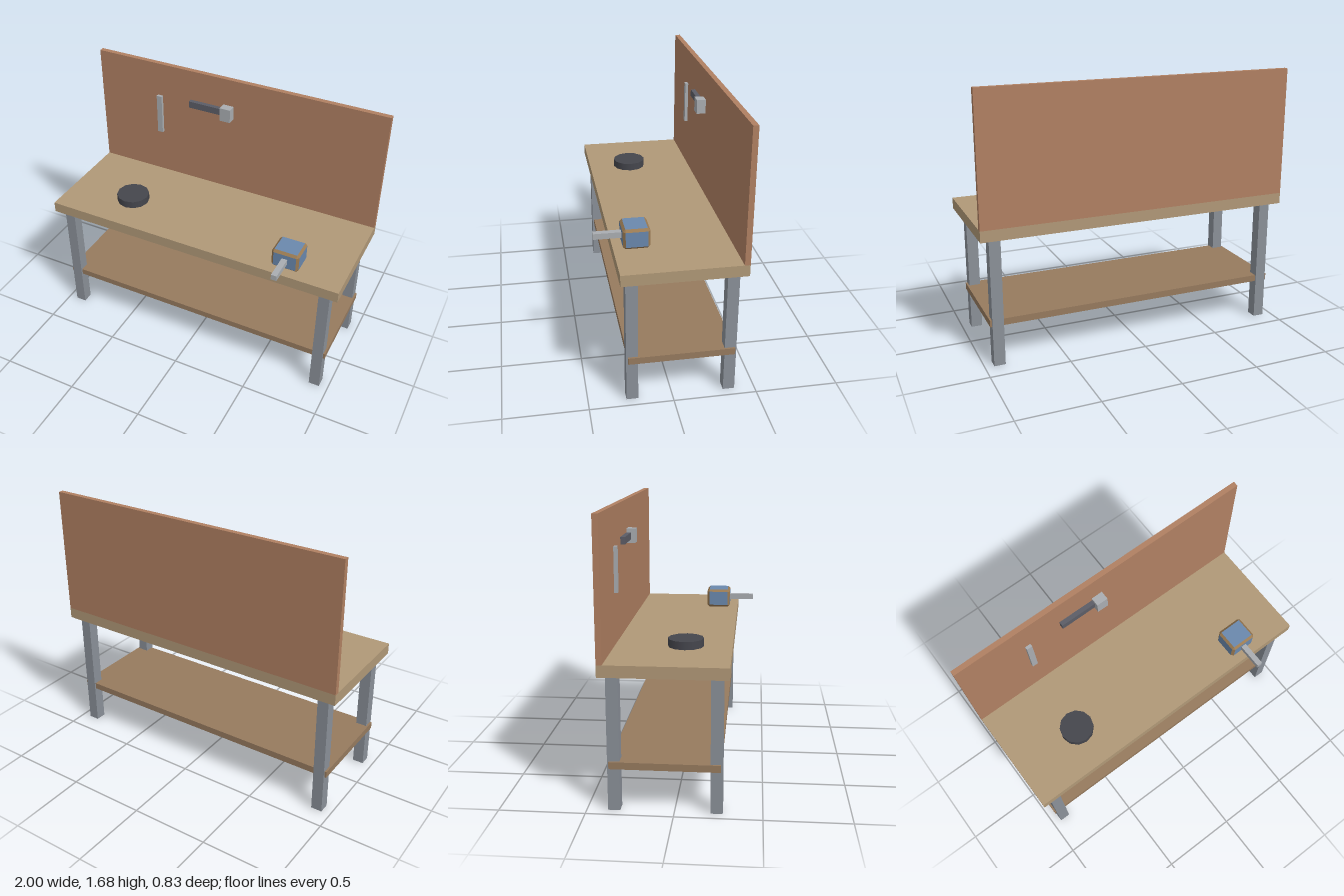
import * as THREE from 'three';
import { ConvexGeometry } from 'three/addons/geometries/ConvexGeometry.js';

const WOOD = 0xb09877, SHELF = 0x967a5e, PANEL = 0xb08062, LEG = 0x8a9098;
const STEEL = 0xa9adb1, DARK = 0x45464d, GRIP = 0x5c5d66, BLUE = 0x6a88ad, TRIM = 0x9a7a52;

const paint = (color, flatShading = false) => new THREE.MeshStandardMaterial({ color, flatShading });

// Box given by its extents along each axis
function block(name, color, [x0, x1], [y0, y1], [z0, z1]) {
  const mesh = new THREE.Mesh(new THREE.BoxGeometry(x1 - x0, y1 - y0, z1 - z0), paint(color));
  mesh.name = name;
  mesh.position.set((x0 + x1) / 2, (y0 + y1) / 2, (z0 + z1) / 2);
  return mesh;
}

// Chamfered box: flat faces in the first material, chamfers in the second
function chamferedBox(w, h, d, c, faceColor, edgeColor) {
  const half = [w / 2, h / 2, d / 2], points = [];
  for (const sx of [-1, 1]) for (const sy of [-1, 1]) for (const sz of [-1, 1]) {
    for (let axis = 0; axis < 3; axis++) {
      const p = [sx, sy, sz].map((s, i) => s * (half[i] - (i === axis ? 0 : c)));
      points.push(new THREE.Vector3(...p));
    }
  }
  const geometry = new ConvexGeometry(points);
  const n = geometry.attributes.normal;
  for (let i = 0; i < n.count; i += 3) {
    const straight = Math.max(Math.abs(n.getX(i)), Math.abs(n.getY(i)), Math.abs(n.getZ(i))) > 0.98;
    geometry.addGroup(i, 3, straight ? 0 : 1);
  }
  return new THREE.Mesh(geometry, [paint(faceColor, true), paint(edgeColor, true)]);
}

export function createModel() {
  const bench = new THREE.Group();
  bench.name = 'workbench';

  // Worktop, lower shelf and back panel
  bench.add(
    block('worktop', WOOD, [-1, 1], [0.803, 0.873], [-0.417, 0.308]),
    block('lowerShelf', SHELF, [-0.955, 0.955], [0.254, 0.296], [-0.37, 0.263]),
    block('backPanel', PANEL, [-1, 1], [0.873, 1.685], [-0.417, -0.384])
  );

  // Four legs
  for (const x of [-0.908, 0.908]) for (const z of [-0.344, 0.239]) {
    bench.add(block('leg', LEG, [x - 0.035, x + 0.035], [0, 0.803], [z - 0.035, z + 0.035]));
  }

  // Vise: chamfered body with a bar pointing forward
  const vise = new THREE.Group();
  vise.name = 'vise';
  const body = chamferedBox(0.176, 0.125, 0.16, 0.015, BLUE, TRIM);
  body.name = 'viseBody';
  body.position.set(0.633, 0.936, 0.172);
  vise.add(body, block('viseBar', STEEL, [0.615, 0.651], [0.92, 0.956], [0.24, 0.417]));
  bench.add(vise);

  // Round tin on the worktop
  const tin = new THREE.Mesh(new THREE.CylinderGeometry(0.107, 0.107, 0.048, 12), paint(DARK));
  tin.name = 'roundTin';
  tin.position.set(-0.548, 0.897, 0.033);
  bench.add(tin);

  // Hammer and chisel hung on the panel
  const hammer = new THREE.Group();
  hammer.name = 'hammer';
  hammer.add(
    block('hammerHandle', GRIP, [-0.32, -0.085], [1.435, 1.479], [-0.384, -0.355]),
    block('hammerHead', STEEL, [-0.085, -0.011], [1.413, 1.503], [-0.384, -0.327])
  );
  bench.add(hammer, block('chisel', STEEL, [-0.567, -0.53], [1.184, 1.456], [-0.384, -0.364]));

  return bench;
}
